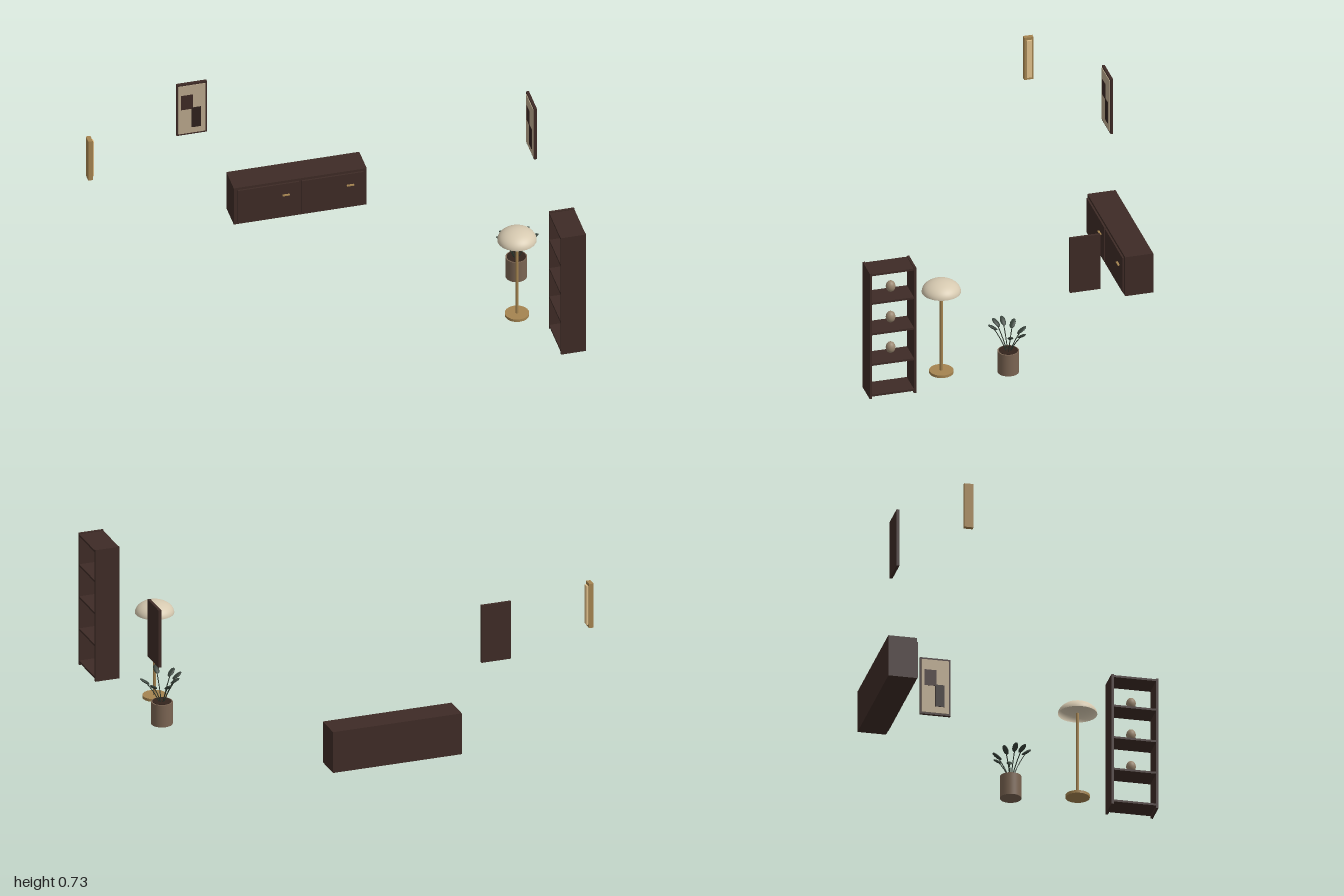
import * as THREE from 'three';

const mat = (color, side = THREE.FrontSide) => new THREE.MeshStandardMaterial({ color, side });
const wood = mat(0x3e2b26), darkWood = mat(0x2e211d), brass = mat(0xa58450), glow = mat(0xe2c28c);
const canvasMat = mat(0xbaa88d), shadeMat = mat(0xd6c9b0, THREE.DoubleSide), clay = mat(0x7a6452);
const vaseMat = mat(0x9a8770), soilMat = mat(0x33241d), leafMat = mat(0x37423a), stemMat = mat(0x2b352c);

function add(parent, name, geometry, material, x = 0, y = 0, z = 0) {
  const m = new THREE.Mesh(geometry, material);
  m.name = name;
  m.position.set(x, y, z);
  parent.add(m);
  return m;
}
// Box given by its min and max corners
function box(parent, name, material, [x0, y0, z0], [x1, y1, z1]) {
  return add(parent, name, new THREE.BoxGeometry(x1 - x0, y1 - y0, z1 - z0), material,
    (x0 + x1) / 2, (y0 + y1) / 2, (z0 + z1) / 2);
}
function group(parent, name, x = 0, y = 0, z = 0) {
  const g = new THREE.Group();
  g.name = name;
  g.position.set(x, y, z);
  parent.add(g);
  return g;
}

// Low cabinet with two doors and slim handles
function sideboard(parent) {
  const g = group(parent, 'sideboard', 0.015, 0, 0);
  box(g, 'cabinetBody', wood, [-0.31, 0.01, -0.752], [0.31, 0.21, -0.62]);
  for (const s of [-1, 1]) {
    const c = s * 0.15;
    box(g, 'door', wood, [c - 0.144, 0.022, -0.62], [c + 0.144, 0.198, -0.612]);
    box(g, 'doorHandle', brass, [c + 0.064, 0.136, -0.612], [c + 0.098, 0.141, -0.603]);
  }
}

// Framed abstract picture, its back at local z = 0
function picture(parent, name, x, z, turn) {
  const g = group(parent, name, x, 0.59, z);
  g.rotation.y = turn;
  box(g, 'frame', wood, [-0.071, -0.14, 0], [0.071, 0.14, 0.013]);
  box(g, 'canvas', canvasMat, [-0.063, -0.131, 0.013], [0.063, 0.131, 0.016]);
  box(g, 'upperPatch', wood, [-0.051, 0.002, 0.016], [0.004, 0.08, 0.0175]);
  box(g, 'lowerPatch', darkWood, [-0.001, -0.1, 0.016], [0.042, 0.008, 0.0185]);
}

// Open shelf unit with a vase on three of the boards
function bookshelf(parent) {
  const g = group(parent, 'bookshelf');
  for (const [a, b] of [[0.549, 0.56], [0.756, 0.767]])
    box(g, 'sidePanel', wood, [0.867, 0.036, a], [0.984, 0.681, b]);
  for (const y of [0.053, 0.211, 0.368, 0.525, 0.672])
    box(g, 'shelfBoard', wood, [0.867, y - 0.005, 0.56], [0.984, y + 0.005, 0.756]);
  for (const y of [0.257, 0.414, 0.571])
    add(g, 'vase', new THREE.SphereGeometry(0.022, 24, 16), vaseMat, 0.926, y, 0.653).scale.y = 1.25;
}

// Floor lamp with a domed shade
function floorLamp(parent) {
  const g = group(parent, 'floorLamp', 0.766, 0, 0.369);
  add(g, 'lampBase', new THREE.CylinderGeometry(0.055, 0.055, 0.013, 40), brass, 0, 0.0065, 0);
  add(g, 'lampPole', new THREE.CylinderGeometry(0.0075, 0.0075, 0.41, 16), brass, 0, 0.215, 0);
  const dome = new THREE.SphereGeometry(0.089, 40, 16, 0, Math.PI * 2, 0, Math.PI / 2);
  add(g, 'lampShade', dome, shadeMat, 0, 0.416, 0).scale.y = 0.63;
}

// Potted plant: leaning stems, each ending in a flattened leaf
function plant(parent) {
  const g = group(parent, 'plant', 0.84, 0, 0.076);
  add(g, 'pot', new THREE.CylinderGeometry(0.049, 0.049, 0.108, 32), clay, 0, 0.054, 0);
  add(g, 'soil', new THREE.CylinderGeometry(0.043, 0.043, 0.004, 32), soilMat, 0, 0.108, 0);
  const tips = [[0, 0.237, 0.073], [0.078, 0.212, 0.012], [0.058, 0.205, -0.047], [-0.005, 0.2, -0.064],
    [-0.06, 0.226, 0.04], [-0.074, 0.222, 0.004], [-0.05, 0.215, -0.035]];
  for (const [x, y, z] of tips) {
    const tip = new THREE.Vector3(x, y, z), root = new THREE.Vector3(x * 0.12, 0.1, z * 0.12);
    const mid = new THREE.Vector3(x * 0.45, 0.1 + (y - 0.1) * 0.55, z * 0.45);
    const path = new THREE.QuadraticBezierCurve3(root, mid, tip);
    add(g, 'stem', new THREE.TubeGeometry(path, 8, 0.0022, 6), stemMat);
    const leaf = add(g, 'leaf', new THREE.SphereGeometry(1, 14, 10), leafMat, x, y, z);
    leaf.scale.set(0.013, 0.006, 0.026);
    leaf.rotation.order = 'YXZ';
    leaf.rotation.set(-0.6, Math.atan2(x, z), 0);
  }
}

// Wall light: back plate, raised rim and glowing panel
function wallLight(parent) {
  const g = group(parent, 'wallLight');
  box(g, 'backPlate', brass, [-1, 0.45, -0.563], [-0.979, 0.666, -0.52]);
  box(g, 'lightPanel', glow, [-0.979, 0.464, -0.554], [-0.97, 0.653, -0.529]);
}

export function createModel() {
  const room = new THREE.Group();
  room.name = 'livingRoomSet';
  sideboard(room);
  picture(room, 'backPicture', -0.456, -0.767, 0);
  picture(room, 'sidePicture', 1, -0.239, -Math.PI / 2);
  bookshelf(room);
  floorLamp(room);
  plant(room);
  wallLight(room);
  return room;
}
